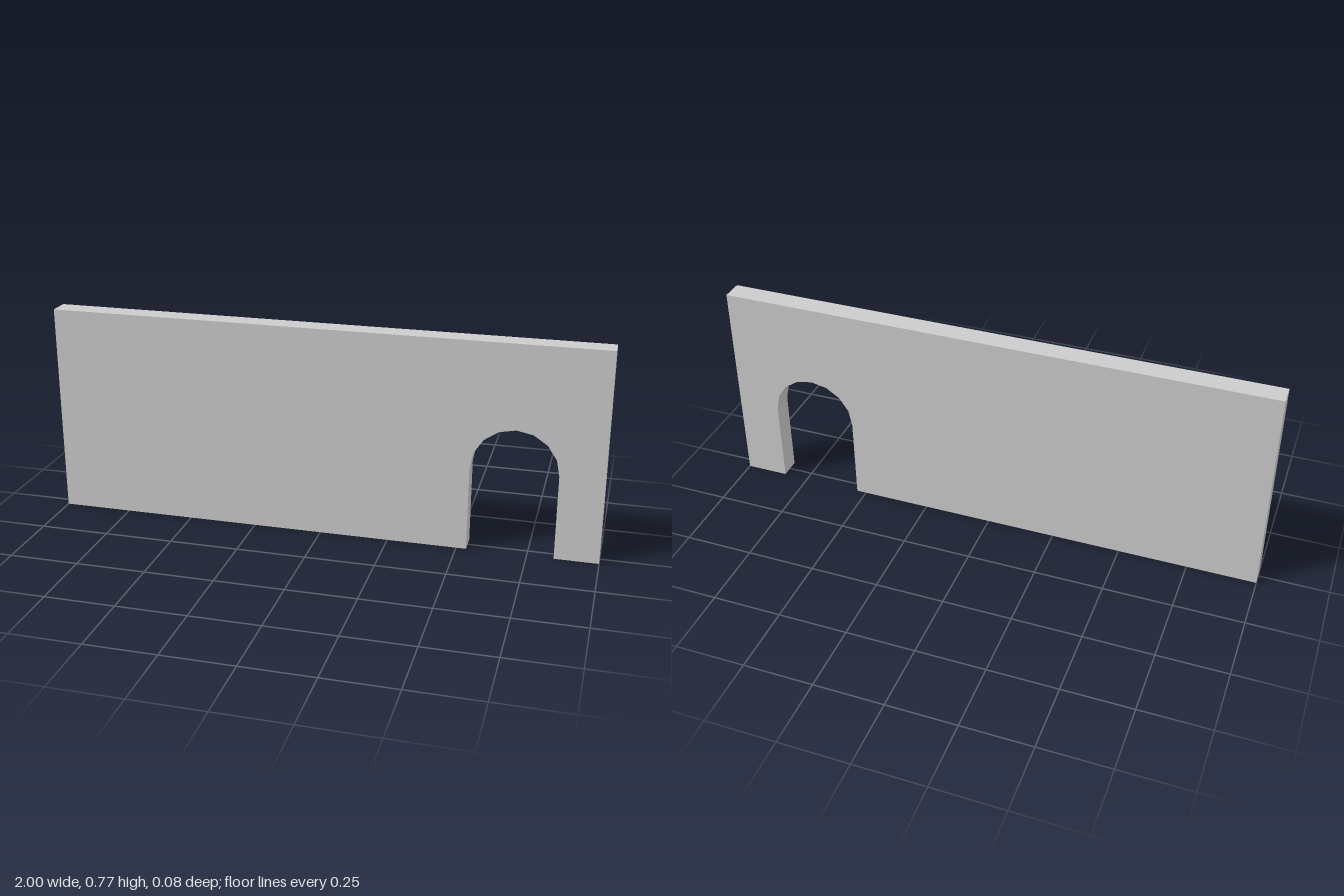
import * as THREE from 'three';

const WIDTH = 2, HEIGHT = 0.77, DEPTH = 0.077;
const ARCH_X = 0.69, ARCH_RADIUS = 0.154, SPRING_Y = 0.31;

export function createModel() {
  const group = new THREE.Group();
  group.name = 'wallWithArchway';

  // Wall outline, with the doorway cut up from the bottom edge
  const outline = new THREE.Shape();
  outline.moveTo(-WIDTH / 2, 0);
  outline.lineTo(ARCH_X - ARCH_RADIUS, 0);
  outline.lineTo(ARCH_X - ARCH_RADIUS, SPRING_Y);
  outline.absarc(ARCH_X, SPRING_Y, ARCH_RADIUS, Math.PI, 0, true);
  outline.lineTo(ARCH_X + ARCH_RADIUS, 0);
  outline.lineTo(WIDTH / 2, 0);
  outline.lineTo(WIDTH / 2, HEIGHT);
  outline.lineTo(-WIDTH / 2, HEIGHT);
  outline.closePath();

  // An arc gets twice curveSegments, so the arch has eight facets
  const geometry = new THREE.ExtrudeGeometry(outline, {
    depth: DEPTH, bevelEnabled: false, curveSegments: 4,
  });
  geometry.translate(0, 0, -DEPTH / 2);

  const wall = new THREE.Mesh(
    geometry,
    new THREE.MeshStandardMaterial({ color: 0xcccccc, flatShading: true }),
  );
  wall.name = 'wall';
  group.add(wall);
  return group;
}
